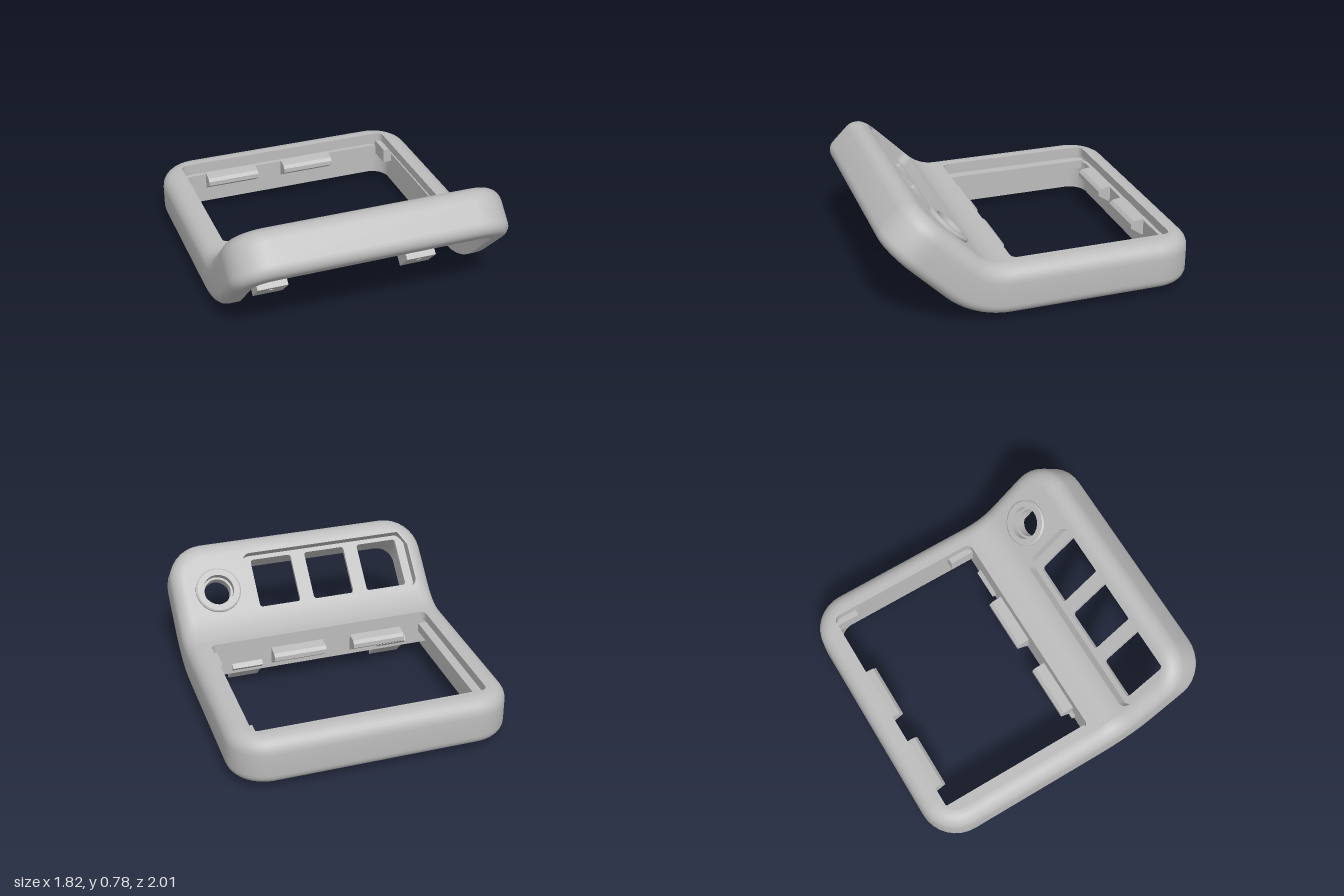
import * as THREE from 'three';
import { toCreasedNormals } from 'three/addons/utils/BufferGeometryUtils.js';

const TOP = 0.36, THICK = 0.315;          // flat slab top height and thickness
const BEND = 0.24, R = 0.27;              // bend start and inner radius
const END = BEND + R * Math.PI / 4;       // bend end, measured along the top
const HALF = 0.91, CORNER = 0.25;         // half width and plan corner radius

// Folds everything past BEND upward by 45 degrees
function bend(geo) {
  const p = geo.attributes.position;
  for (let i = 0; i < p.count; i++) {
    const s = p.getZ(i);
    if (s <= BEND) continue;
    const a = Math.min((s - BEND) / R, Math.PI / 4);
    const rad = R + TOP - p.getY(i), extra = Math.max(0, s - END);
    p.setY(i, TOP + R - rad * Math.cos(a) + extra * Math.sin(a));
    p.setZ(i, BEND + rad * Math.sin(a) + extra * Math.cos(a));
  }
  return geo;
}

// Rectangle in x and length, with separate corner radii at its start and end
function rect(x0, x1, s0, s1, r0, r1 = r0, Type = THREE.Shape) {
  const c = new Type(), h = Math.PI / 2;
  c.moveTo(x0 + r0, s0);
  c.lineTo(x1 - r0, s0);
  if (r0) c.absarc(x1 - r0, s0 + r0, r0, -h, 0);
  c.lineTo(x1, s1 - r1);
  if (r1) c.absarc(x1 - r1, s1 - r1, r1, 0, h);
  c.lineTo(x0 + r1, s1);
  if (r1) c.absarc(x0 + r1, s1 - r1, r1, h, 2 * h);
  c.lineTo(x0, s0 + r0);
  if (r0) c.absarc(x0 + r0, s0 + r0, r0, 2 * h, 3 * h);
  return c;
}
const hole = (x0, x1, s0, s1, r) => rect(x0, x1, s0, s1, r, r, THREE.Path);

// Plate lying below the top surface by the given distance
function plate(shape, below, depth, holes = []) {
  shape.holes.push(...holes);
  const g = new THREE.ExtrudeGeometry(shape, { depth, bevelEnabled: false, curveSegments: 8 });
  return bend(g.rotateX(Math.PI / 2).translate(0, TOP - below, 0));
}

// Side profile of [z, y] points, extruded between two x positions
function prism(points, x0, x1) {
  const shape = new THREE.Shape(points.map(([z, y]) => new THREE.Vector2(z, y)));
  const g = new THREE.ExtrudeGeometry(shape, { depth: x1 - x0, bevelEnabled: false });
  return g.rotateY(-Math.PI / 2).translate(x1, 0, 0);
}

function bentBox(x0, x1, v0, v1, s0, s1, steps = 1) {
  const g = new THREE.BoxGeometry(x1 - x0, v1 - v0, s1 - s0, 1, 1, steps);
  return bend(g.translate((x0 + x1) / 2, TOP - (v0 + v1) / 2, (s0 + s1) / 2));
}

// Closed plan loop of the rim at a given inset
function outline(inset) {
  const r = CORNER - inset, x = HALF - inset - r, s = 1 - inset - r, pts = [];
  const stations = [0, 0.2];
  for (let i = 0; i <= 9; i++) stations.push(BEND + (END - BEND) * i / 9);
  const corner = (cx, cs, q) => {
    for (let i = 0; i <= 8; i++) {
      const a = (q + i / 8) * Math.PI / 2;
      pts.push([cx + r * Math.cos(a), cs + r * Math.sin(a)]);
    }
  };
  corner(x, s, 0);
  corner(-x, s, 1);
  [...stations].reverse().forEach(t => pts.push([-x - r, t]));
  corner(-x, -s, 2);
  corner(x, -s, 3);
  stations.forEach(t => pts.push([x + r, t]));
  return pts;
}

// Rounded rim, lofted around the outline from a closed [inset, below] section
function rimGeometry() {
  const section = [[0.13, 0.1], [0.13, THICK]];
  for (let i = 0; i <= 6; i++) {
    const a = i / 6 * Math.PI / 2;
    section.push([0.07 * (1 - Math.sin(a)), THICK - 0.07 * (1 - Math.cos(a))]);
  }
  for (let i = 0; i <= 7; i++) {
    const a = i / 7 * Math.PI / 2;
    section.push([0.1 * (1 - Math.cos(a)), 0.1 * (1 - Math.sin(a))]);
  }
  section.push([0.1, 0.1], [0.13, 0.1]);
  const pos = [], idx = [], n = outline(0).length;
  for (const [inset, below] of section)
    for (const [x, s] of outline(inset)) pos.push(x, TOP - below, s);
  for (let j = 0; j < section.length - 1; j++)
    for (let i = 0; i < n; i++) {
      const a = j * n + i, b = j * n + (i + 1) % n;
      idx.push(a, a + n, b, b, a + n, b + n);
    }
  const g = new THREE.BufferGeometry();
  g.setAttribute('position', new THREE.Float32BufferAttribute(pos, 3));
  g.setIndex(idx);
  return bend(g);
}

export function createModel() {
  const model = new THREE.Group();
  const grey = new THREE.MeshStandardMaterial({ color: 0xbcbcbc });
  grey.name = 'light grey plastic';
  const add = (name, geo) => {
    const mesh = new THREE.Mesh(toCreasedNormals(geo, 0.55), grey);
    mesh.name = name;
    model.add(mesh);
  };

  add('outerRim', rimGeometry());

  // Top skin: flat bezel, curved strip and tilted control panel
  const w = 0.81;
  add('rearBezel', plate(rect(-w, w, -0.9, BEND, 0.15, 0), 0, 0.06,
    [hole(-0.76, 0.76, -0.86, 0.2, 0.04)]));
  add('bendStrip', bentBox(-w, w, 0, 0.05, BEND, END, 9));
  const ringX = 0.61, ringS = 0.634;
  const ringHole = new THREE.Path();
  ringHole.absarc(ringX, ringS, 0.13, 0, Math.PI * 2);
  const recess = [-0.8, 0.4, 0.456, 0.868, 0.06];
  add('controlPanel', plate(rect(-w, w, END, 0.9, 0, 0.15), 0, 0.05, [hole(...recess), ringHole]));

  // Recessed pocket with three windows
  add('pocketWall', plate(rect(-0.81, 0.42, 0.44, 0.885, 0.06), 0.045, 0.055, [hole(...recess)]));
  const windows = [-0.74, -0.35, 0.04].map(x => hole(x, x + 0.29, 0.494, 0.838, 0.02));
  add('pocketFloor', plate(rect(-0.805, 0.41, 0.45, 0.878, 0.06), 0.07, 0.028, windows));

  // Raised ring around the round opening
  const ring = [[0.09, -0.1], [0.14, -0.1], [0.155, 0], [0.155, 0.012], [0.145, 0.02],
    [0.105, 0.02], [0.105, -0.03], [0.09, -0.03], [0.09, -0.1]];
  add('buttonRing', bend(new THREE.LatheGeometry(ring.map(p => new THREE.Vector2(...p)), 40)
    .translate(ringX, TOP, ringS)));
  add('panelRib', bentBox(0.42, 0.78, 0.045, 0.14, 0.42, 0.46));

  // Cross wall between the opening and the panel
  add('crossWall', prism([[0.2, 0.35], [0.2, 0.12], [0.25, 0.12], [0.28, 0.15],
    [0.25, 0.21], [0.23, 0.28], [0.23, 0.35]], -0.785, 0.785));

  // Wedge clips on the front and rear walls of the opening
  const clip = [[0, 0.27], [0.07, 0.26], [0.09, 0.24], [0.09, 0.21], [0, 0.15]];
  for (const x of [-0.58, -0.02]) {
    add('frontClip', prism(clip.map(([d, y]) => [0.201 - d, y]), x, x + 0.365));
    add('rearClip', prism(clip.map(([d, y]) => [-0.871 + d, y]), x, x + 0.365));
  }

  // Side rail and corner stops inside the opening
  add('sideRail', bentBox(-0.785, -0.72, 0.09, 0.15, -0.87, 0.2));
  add('rearStop', bentBox(0.72, 0.785, 0.06, 0.16, -0.87, -0.7));
  add('frontStop', bentBox(0.72, 0.785, 0.06, 0.16, 0.03, 0.2));

  // Tilted mounting brackets with screw holes
  for (const x of [-0.515, 0.515]) {
    const face = rect(-0.103, 0.103, 0, 0.16, 0);
    const screw = new THREE.Path();
    screw.absellipse(0, 0.106, 0.02, 0.015, 0, Math.PI * 2);
    face.holes.push(screw);
    add('mountingBracket', new THREE.ExtrudeGeometry(face, { depth: 0.235, bevelEnabled: false })
      .translate(0, 0, -0.235).rotateX(Math.PI / 4).translate(x, 0, 0.34));
  }
  return model;
}
